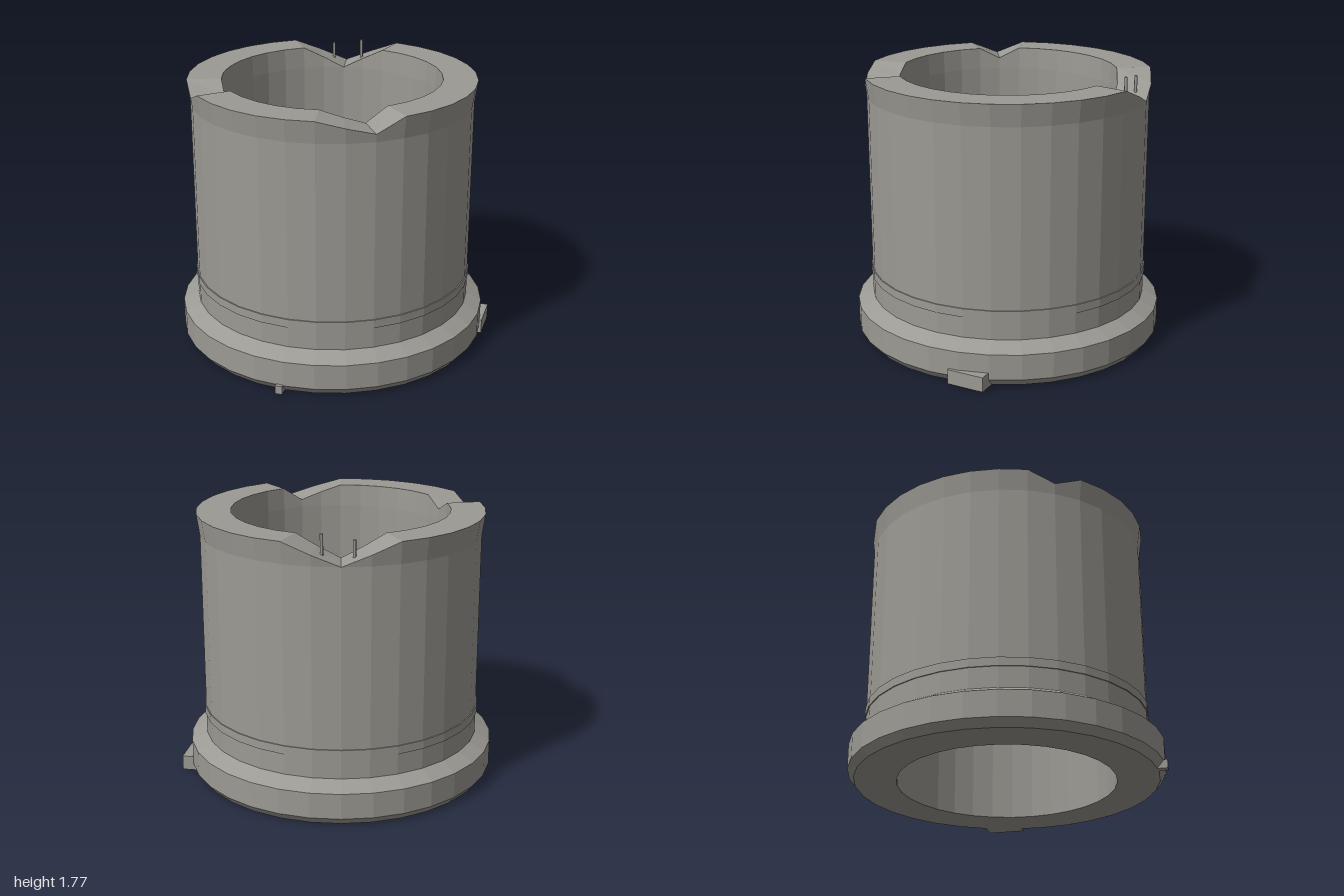
import * as THREE from 'three';

const SIDES = 32;

// How far the top face dips at each spoke (three V-shaped notches)
const DIPS = { 3: 0.07, 4: 0.14, 5: 0.07, 14: 0.07, 21: 0.045, 22: 0.09 };

// Sweeps a profile of functions spoke -> [radius, height] around the axis, with flat facets
function ring(profile) {
  const pos = [], index = [], n = profile.length;
  for (let i = 0; i < SIDES; i++) {
    const a = (i / SIDES) * Math.PI * 2;
    for (const point of profile) {
      const [r, y] = typeof point === 'function' ? point(i) : point;
      pos.push(r * Math.cos(a), y, -r * Math.sin(a));
    }
  }
  for (let i = 0; i < SIDES; i++) {
    const p = i * n, q = ((i + 1) % SIDES) * n;
    for (let j = 0; j < n - 1; j++) {
      index.push(p + j, q + j, q + j + 1, p + j, q + j + 1, p + j + 1);
    }
  }
  const indexed = new THREE.BufferGeometry();
  indexed.setAttribute('position', new THREE.Float32BufferAttribute(pos, 3));
  indexed.setIndex(index);
  const flat = indexed.toNonIndexed();
  flat.computeVertexNormals();
  return flat;
}

export function createModel() {
  const group = new THREE.Group();
  const grey = new THREE.MeshStandardMaterial({ color: 0x9c9a94 });
  grey.name = 'warm grey';

  const add = (name, geometry, x = 0, y = 0, z = 0, turn = 0) => {
    const mesh = new THREE.Mesh(geometry, grey);
    mesh.name = name;
    mesh.position.set(x, y, z);
    mesh.rotation.y = turn;
    group.add(mesh);
  };

  // Chamfered foot with its flat underside
  add('baseFlange', ring([[0.693, 0], [0.96, 0], [1, 0.05], [1, 0.215], [0.9, 0.27]]));

  // Straight outer wall and raised band
  add('outerWall', ring([[0.9, 0.27], [0.9, 1.6]]));
  add('raisedBand', ring([[0.9, 0.405], [0.907, 0.405], [0.907, 0.46], [0.9, 0.46]]));

  // Flared rim with the notched top face, then the bore
  const rimTop = (inner) => (i) => {
    const y = 1.74 - (DIPS[i] || 0);
    const t = (y - 1.6) / 0.14;
    return [inner ? 0.693 + 0.007 * t : 0.9 + 0.02 * t, y];
  };
  add('notchedRim', ring([[0.9, 1.6], rimTop(false), rimTop(true), [0.693, 1.6]]));
  add('innerWall', ring([[0.693, 1.6], [0.693, 0]]));

  // Lugs at the foot
  const turn = THREE.MathUtils.degToRad(35);
  add('largeLug', new THREE.BoxGeometry(0.244, 0.095, 0.18), 0.718, 0.0475, 0.616, turn);
  add('smallLug', new THREE.BoxGeometry(0.2, 0.055, 0.045), -0.78, 0.0275, 0.49, turn);

  // Two contact pins in the deepest notch
  for (const [x, z, top] of [[0.52, -0.63, 1.74], [0.64, -0.48, 1.77]]) {
    add('pin', new THREE.CylinderGeometry(0.01, 0.01, 0.2, 8), x, top - 0.1, z);
  }
  return group;
}
